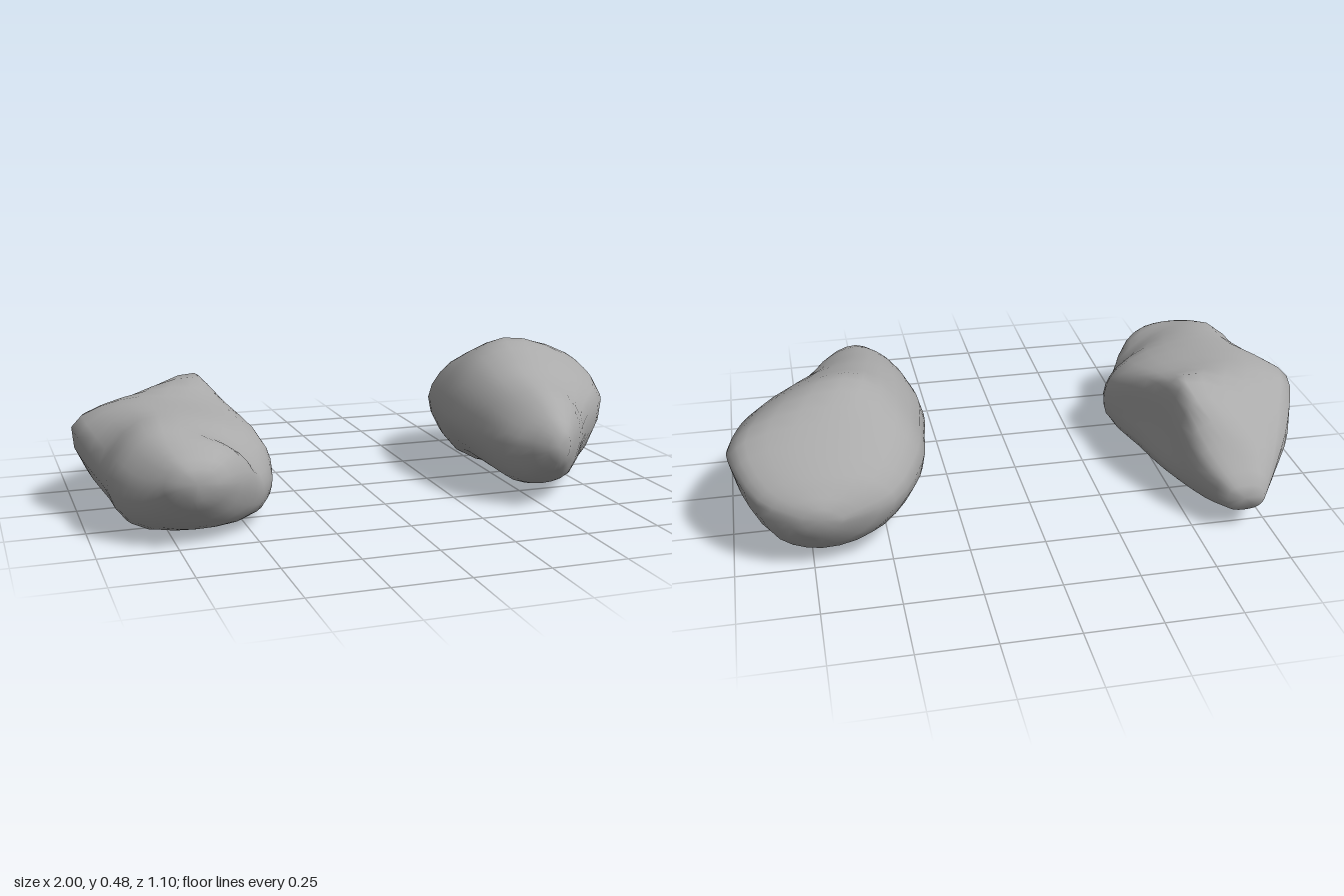
import * as THREE from 'three';

const AROUND = 24; // sides of a rock
const ALONG = 21; // rings between its ends

// Each section: z, then eight x, y pairs counter-clockwise from the +x side
const broadRock = [
  [-0.54, 0.78, 0.20, 0.76, 0.225, 0.72, 0.235, 0.68, 0.22, 0.65, 0.19, 0.68, 0.165, 0.72, 0.155, 0.76, 0.165],
  [-0.47, 0.91, 0.23, 0.87, 0.28, 0.71, 0.31, 0.55, 0.28, 0.48, 0.20, 0.56, 0.09, 0.72, 0.05, 0.85, 0.10],
  [-0.30, 0.99, 0.30, 0.93, 0.365, 0.68, 0.405, 0.46, 0.36, 0.37, 0.23, 0.45, 0.08, 0.65, 0.02, 0.85, 0.05],
  [-0.13, 0.985, 0.27, 0.85, 0.40, 0.60, 0.475, 0.43, 0.39, 0.34, 0.23, 0.42, 0.06, 0.64, 0.0, 0.86, 0.04],
  [0.03, 0.93, 0.25, 0.76, 0.39, 0.57, 0.44, 0.42, 0.39, 0.32, 0.23, 0.39, 0.10, 0.60, 0.01, 0.82, 0.03],
  [0.20, 0.785, 0.24, 0.69, 0.345, 0.53, 0.405, 0.41, 0.36, 0.335, 0.22, 0.39, 0.10, 0.55, 0.03, 0.72, 0.05],
  [0.38, 0.66, 0.23, 0.62, 0.32, 0.52, 0.36, 0.43, 0.31, 0.375, 0.21, 0.42, 0.09, 0.52, 0.06, 0.62, 0.09],
  [0.50, 0.56, 0.22, 0.55, 0.26, 0.52, 0.27, 0.49, 0.25, 0.48, 0.21, 0.49, 0.18, 0.52, 0.16, 0.55, 0.18],
];

const craggyRock = [
  [-0.55, -0.60, 0.11, -0.61, 0.15, -0.66, 0.16, -0.71, 0.15, -0.73, 0.11, -0.71, 0.08, -0.66, 0.07, -0.61, 0.08],
  [-0.42, -0.53, 0.13, -0.55, 0.22, -0.63, 0.25, -0.74, 0.24, -0.82, 0.16, -0.77, 0.06, -0.66, 0.03, -0.57, 0.05],
  [-0.23, -0.495, 0.18, -0.51, 0.34, -0.545, 0.395, -0.76, 0.325, -0.93, 0.22, -0.88, 0.04, -0.68, 0.025, -0.49, 0.06],
  [-0.03, -0.455, 0.18, -0.475, 0.32, -0.61, 0.355, -0.84, 0.36, -1.0, 0.28, -0.90, 0.06, -0.70, 0.02, -0.455, 0.05],
  [0.20, -0.38, 0.14, -0.42, 0.25, -0.61, 0.34, -0.82, 0.355, -0.945, 0.20, -0.88, 0.05, -0.68, 0.015, -0.41, 0.05],
  [0.35, -0.445, 0.14, -0.51, 0.23, -0.65, 0.33, -0.82, 0.345, -0.925, 0.20, -0.87, 0.05, -0.68, 0.015, -0.47, 0.05],
  [0.45, -0.51, 0.18, -0.56, 0.28, -0.68, 0.32, -0.80, 0.30, -0.86, 0.18, -0.81, 0.09, -0.68, 0.05, -0.56, 0.08],
  [0.545, -0.63, 0.21, -0.65, 0.25, -0.70, 0.26, -0.74, 0.25, -0.76, 0.21, -0.74, 0.18, -0.70, 0.16, -0.65, 0.18],
];

// Smooth the sections around and along, skin them and close both ends
function rockGeometry(sections) {
  const loops = sections.map(([z, ...xy]) => {
    const corners = [];
    for (let i = 0; i < xy.length; i += 2) corners.push(new THREE.Vector3(xy[i], xy[i + 1], z));
    return new THREE.CatmullRomCurve3(corners, true).getPoints(AROUND);
  });
  const strands = [];
  for (let j = 0; j < AROUND; j++) {
    strands.push(new THREE.CatmullRomCurve3(loops.map((loop) => loop[j])).getPoints(ALONG));
  }
  const pos = [], index = [];
  const centres = [];
  for (let i = 0; i <= ALONG; i++) {
    const centre = new THREE.Vector3();
    for (const strand of strands) {
      pos.push(...strand[i].toArray());
      centre.addScaledVector(strand[i], 1 / AROUND);
    }
    centres.push(centre);
  }
  const back = pos.length / 3, front = back + 1;
  pos.push(...centres[0].toArray(), ...centres[ALONG].toArray());
  for (let j = 0; j < AROUND; j++) {
    const k = (j + 1) % AROUND;
    for (let i = 0; i < ALONG; i++) {
      const a = i * AROUND, b = a + AROUND;
      index.push(a + j, a + k, b + j, a + k, b + k, b + j);
    }
    index.push(back, k, j, front, ALONG * AROUND + j, ALONG * AROUND + k);
  }
  const g = new THREE.BufferGeometry();
  g.setAttribute('position', new THREE.Float32BufferAttribute(pos, 3));
  g.setIndex(index);
  g.computeVertexNormals();
  return g;
}

export function createModel() {
  const group = new THREE.Group();
  const stone = new THREE.MeshStandardMaterial({ color: 0xaaaaaa });
  stone.name = 'stone grey';

  const broad = new THREE.Mesh(rockGeometry(broadRock), stone);
  broad.name = 'broadRock';
  const craggy = new THREE.Mesh(rockGeometry(craggyRock), stone);
  craggy.name = 'craggyRock';

  group.add(broad, craggy);
  return group;
}
